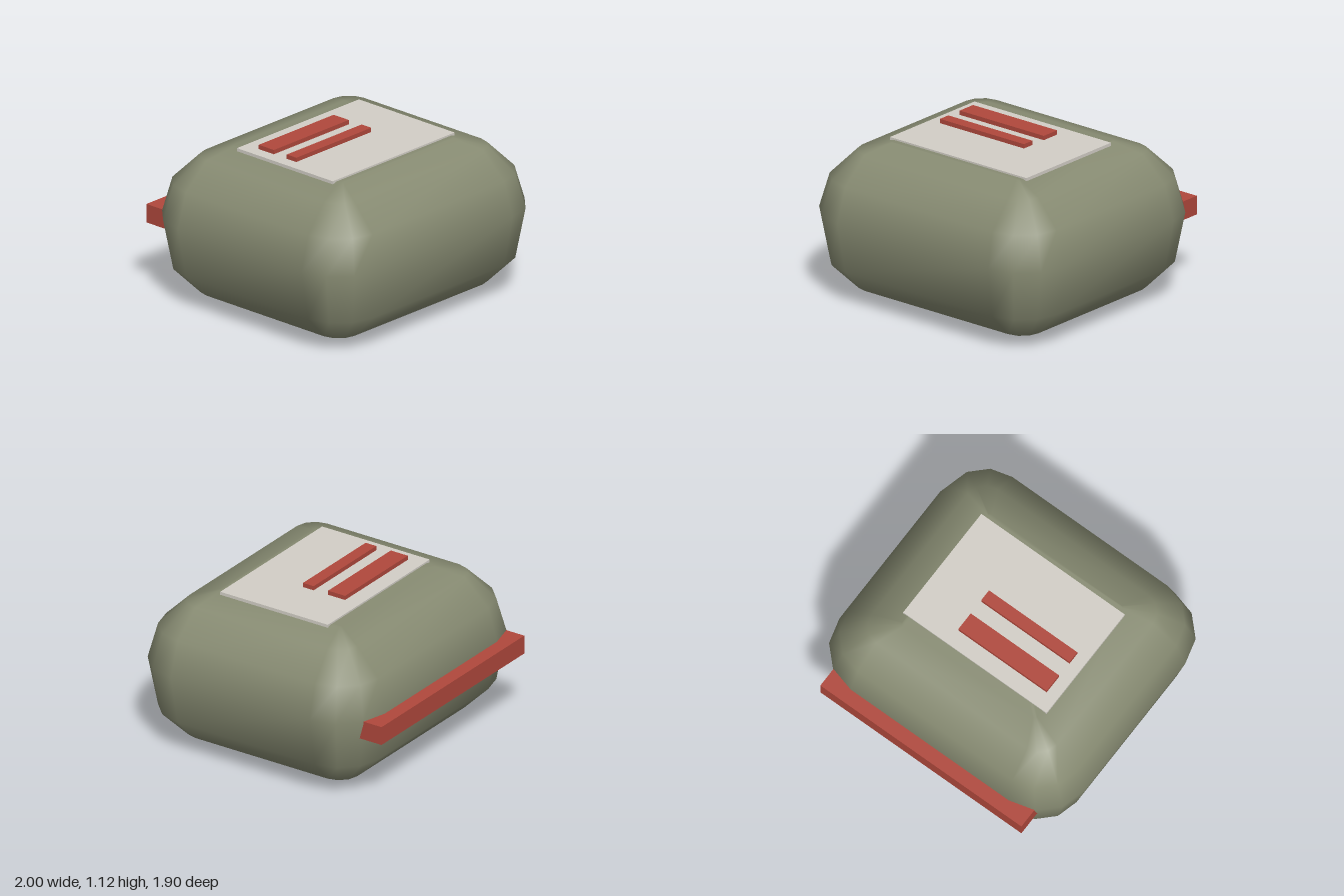
import * as THREE from 'three';

const paint = (color) => new THREE.MeshStandardMaterial({ color });

// Box given by its lower and upper corners
function block(name, material, [x0, y0, z0], [x1, y1, z1]) {
  const geometry = new THREE.BoxGeometry(x1 - x0, y1 - y0, z1 - z0);
  const mesh = new THREE.Mesh(geometry, material);
  mesh.position.set((x0 + x1) / 2, (y0 + y1) / 2, (z0 + z1) / 2);
  mesh.name = name;
  return mesh;
}

// Pillow-shaped body: rounded rectangles stacked in height, smooth normals
function bodyGeometry() {
  // height, half width, half depth, corner radius
  const rings = [
    [0.005, 0.58, 0.505, 0.02],
    [0.07, 0.755, 0.665, 0.14],
    [0.25, 0.93, 0.845, 0.3],
    [0.6, 1, 0.905, 0.355],
    [0.84, 0.93, 0.845, 0.3],
    [1.02, 0.755, 0.665, 0.14],
    [1.078, 0.55, 0.485, 0.02],
  ];
  const steps = 3, count = 4 * (steps + 1), centreZ = 0.045;
  const positions = [], index = [];
  for (const [y, hx, hz, r] of rings) {
    for (let corner = 0; corner < 4; corner++) {
      const sx = corner === 0 || corner === 3 ? 1 : -1;
      const sz = corner < 2 ? 1 : -1;
      for (let k = 0; k <= steps; k++) {
        const a = (corner + k / steps) * Math.PI / 2;
        positions.push(sx * (hx - r) + r * Math.cos(a), y, centreZ + sz * (hz - r) + r * Math.sin(a));
      }
    }
  }
  for (let i = 0; i < rings.length - 1; i++) {
    for (let j = 0; j < count; j++) {
      const a = i * count + j, b = i * count + (j + 1) % count;
      index.push(a, a + count, b, b, a + count, b + count);
    }
  }
  // Flat bottom and top
  const last = (rings.length - 1) * count;
  for (let j = 1; j < count - 1; j++) {
    index.push(0, j, j + 1, last, last + j + 1, last + j);
  }
  const geometry = new THREE.BufferGeometry();
  geometry.setAttribute('position', new THREE.Float32BufferAttribute(positions, 3));
  geometry.setIndex(index);
  geometry.computeVertexNormals();
  return geometry;
}

export function createModel() {
  const model = new THREE.Group();
  const red = paint(0xb0483c);

  const body = new THREE.Mesh(bodyGeometry(), paint(0x878b72));
  body.name = 'body';
  model.add(body);

  // Label plate with two raised stripes
  model.add(block('topPanel', paint(0xd3cfc7), [-0.585, 1.067, -0.365], [0.585, 1.09, 0.49]));
  model.add(block('wideStripe', red, [-0.5, 1.085, -0.25], [0.22, 1.12, -0.115]));
  model.add(block('narrowStripe', red, [-0.5, 1.085, 0], [0.22, 1.12, 0.085]));

  // Bar across the back, sunk into the body
  model.add(block('backBar', red, [-0.82, 0.475, -0.955], [0.82, 0.605, -0.76]));
  return model;
}
